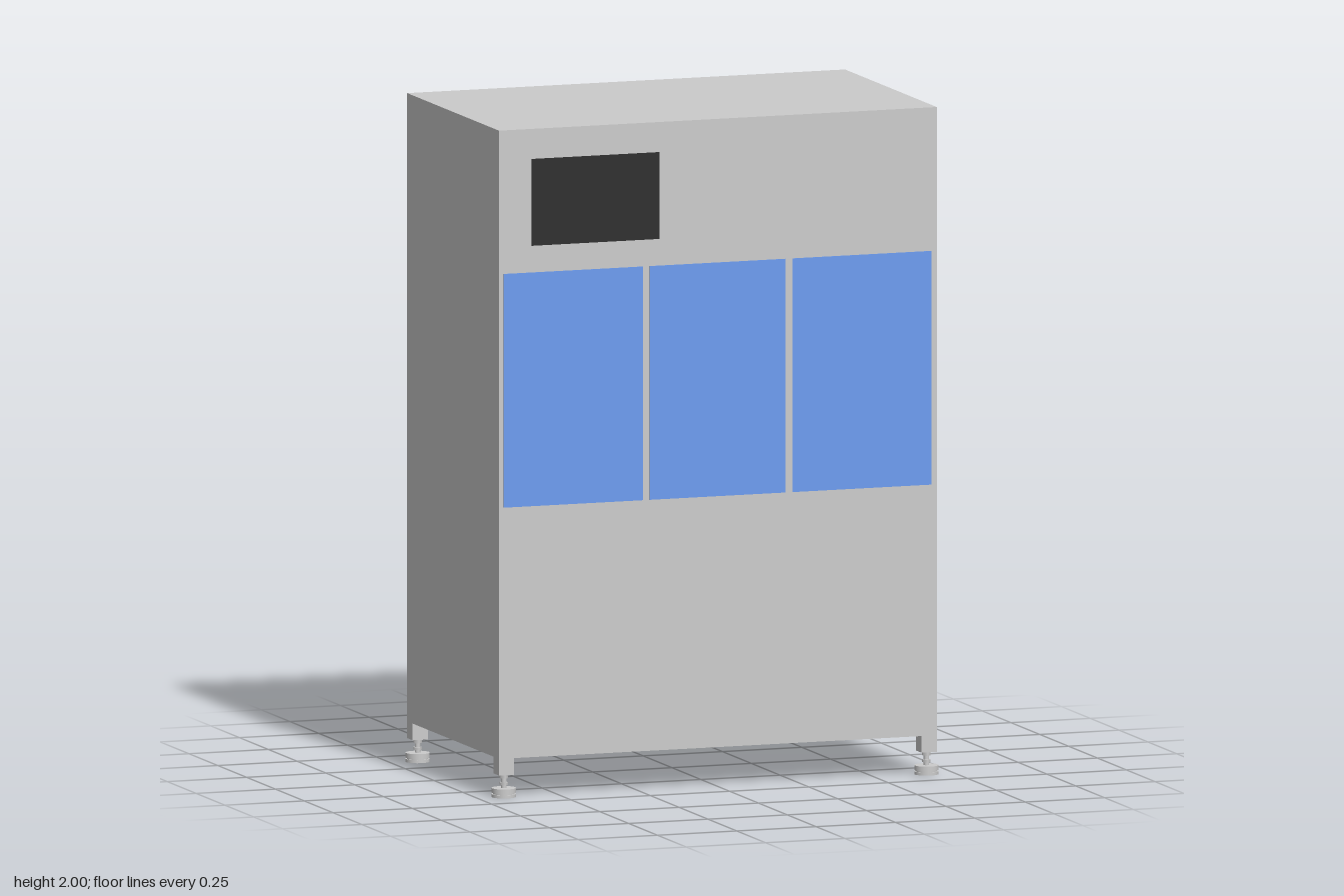
import * as THREE from 'three';

const grey = new THREE.MeshStandardMaterial({ color: 0xcccccc });
const blue = new THREE.MeshStandardMaterial({ color: 0x6c9cf0 });
const black = new THREE.MeshStandardMaterial({ color: 0x2a2a2a });

// Box given by its limits on each axis
function box(name, [x0, x1], [y0, y1], [z0, z1], material = grey) {
  const mesh = new THREE.Mesh(new THREE.BoxGeometry(x1 - x0, y1 - y0, z1 - z0), material);
  mesh.position.set((x0 + x1) / 2, (y0 + y1) / 2, (z0 + z1) / 2);
  mesh.name = name;
  return mesh;
}

function cylinder(name, radius, y0, y1, sides = 32) {
  const mesh = new THREE.Mesh(new THREE.CylinderGeometry(radius, radius, y1 - y0, sides), grey);
  mesh.position.y = (y0 + y1) / 2;
  mesh.name = name;
  return mesh;
}

// Levelling foot: stepped pad, threaded stem and lock nut
function levellingFoot() {
  const foot = new THREE.Group();
  foot.name = 'levellingFoot';
  foot.add(
    cylinder('footPad', 0.036, 0, 0.009),
    cylinder('footNeck', 0.032, 0.009, 0.013),
    cylinder('footTop', 0.036, 0.013, 0.027),
    cylinder('stem', 0.008, 0.027, 0.07, 16),
    cylinder('lockNut', 0.013, 0.036, 0.044, 6),
    cylinder('upperNut', 0.013, 0.056, 0.068, 6),
  );
  return foot;
}

export function createModel() {
  const group = new THREE.Group();
  const W = 0.69, D = 0.398, front = [D - 0.01, D + 0.002];

  // Cabinet
  group.add(box('cabinetBody', [-W, W], [0.118, 2], [-D, D]));

  // Display and the three windows on the front
  group.add(box('displayScreen', [-0.587, -0.185], [1.65, 1.91], front, black));
  for (const span of [[-0.675, -0.237], [-0.215, 0.213], [0.235, 0.672]]) {
    group.add(box('frontWindow', span, [0.87, 1.57], front, blue));
  }

  // Corner legs with levelling feet
  for (const sx of [-1, 1]) for (const sz of [-1, 1]) {
    const leg = new THREE.Group();
    leg.name = 'cornerLeg';
    leg.position.set(sx * (W - 0.024), 0, sz * (D - 0.024));
    leg.add(box('legPost', [-0.024, 0.024], [0.068, 0.119], [-0.024, 0.024]), levellingFoot());
    group.add(leg);
  }
  return group;
}
